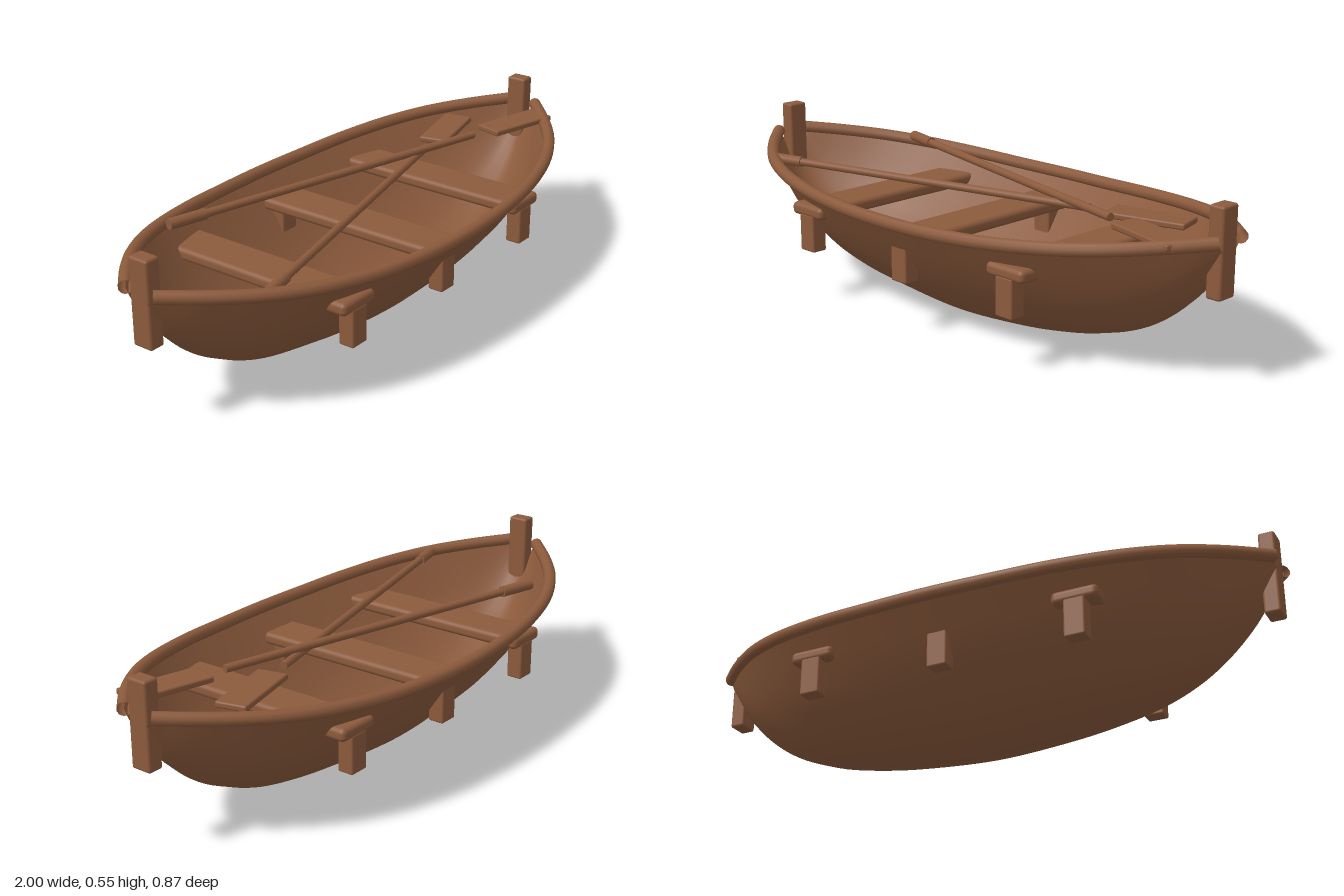
import * as THREE from 'three';
import { RoundedBoxGeometry } from 'three/addons/geometries/RoundedBoxGeometry.js';

// Half-length stations from midship to stem: x, rim height, rim half-width, keel height
const STATIONS = [
  [0, 0.385, 0.415, 0.002], [0.2, 0.387, 0.406, 0.012], [0.4, 0.396, 0.38, 0.034],
  [0.6, 0.41, 0.325, 0.077], [0.75, 0.424, 0.252, 0.147], [0.88, 0.438, 0.153, 0.255],
  [0.985, 0.45, 0.052, 0.4],
];
// Half cross-section from keel to rim: fraction of half-width, fraction of height
const SECTION = [[0, 0], [0.2, 0.045], [0.4, 0.18], [0.57, 0.35], [0.72, 0.54], [0.86, 0.77], [1, 1]];

// Smooth end-to-end curve through the mirrored stations
function lengthCurve(pick) {
  const pts = [];
  for (let i = -(STATIONS.length - 1); i < STATIONS.length; i++) {
    const s = STATIONS[Math.abs(i)];
    const [y, z] = pick(s);
    pts.push(new THREE.Vector3(Math.sign(i) * s[0], y, z));
  }
  return new THREE.CatmullRomCurve3(pts);
}

function hullGeometry() {
  const rim = lengthCurve((s) => [s[1], s[2]]);
  const keel = lengthCurve((s) => [s[3], 0]);
  const ring = [
    ...SECTION.slice(1).reverse().map(([g, f]) => [-g, f]),
    ...SECTION,
  ];
  const n = 64, m = ring.length, pos = [], index = [];
  for (let i = 0; i <= n; i++) {
    const a = keel.getPoint(i / n), b = rim.getPoint(i / n);
    for (const [g, f] of ring) {
      pos.push(a.x + (b.x - a.x) * f, a.y + (b.y - a.y) * f, b.z * g);
    }
  }
  for (let i = 0; i < n; i++) {
    for (let j = 0; j < m - 1; j++) {
      const p = i * m + j, q = p + m;
      index.push(p, q, p + 1, q, q + 1, p + 1);
    }
  }
  const geo = new THREE.BufferGeometry();
  geo.setAttribute('position', new THREE.Float32BufferAttribute(pos, 3));
  geo.setIndex(index);
  geo.computeVertexNormals();
  return geo;
}

export function createModel() {
  const boat = new THREE.Group();
  boat.name = 'rowingBoat';
  const wood = new THREE.MeshStandardMaterial({ color: 0x8b5a3c, side: THREE.DoubleSide });
  wood.name = 'brown wood';

  const add = (name, geo, x = 0, y = 0, z = 0, parent = boat) => {
    const mesh = new THREE.Mesh(geo, wood);
    mesh.name = name;
    mesh.position.set(x, y, z);
    parent.add(mesh);
    return mesh;
  };

  add('hull', hullGeometry());

  // Gunwale rails along both rims
  for (const side of [1, -1]) {
    const curve = lengthCurve((s) => [s[1], side * s[2]]);
    add(side > 0 ? 'frontRail' : 'backRail', new THREE.TubeGeometry(curve, 64, 0.021, 10));
  }

  // Stem and stern posts
  for (const side of [1, -1]) {
    add(side > 0 ? 'leftPost' : 'rightPost', new RoundedBoxGeometry(0.052, 0.274, 0.07, 2, 0.008), side * 0.96, 0.413, 0);
  }

  // Benches with a support under each end
  for (const x of [-0.455, 0, 0.455]) {
    add('bench', new RoundedBoxGeometry(0.15, 0.042, 0.7, 3, 0.016), x, 0.309, 0);
    for (const side of [1, -1]) {
      add('benchSupport', new RoundedBoxGeometry(0.068, 0.125, 0.054, 2, 0.006), x, 0.235, side * 0.322);
    }
  }

  // Oars: grip, shaft and a flat blade lying beyond the shaft end
  const oar = (name, x, y, z, angle) => {
    const group = new THREE.Group();
    group.name = name;
    group.position.set(x, y, z);
    group.rotation.y = angle;
    boat.add(group);
    const rod = (part, radius, from, to) => {
      const geo = new THREE.CylinderGeometry(radius, radius, to - from, 12).rotateZ(Math.PI / 2);
      add(part, geo, (from + to) / 2, 0, 0, group);
    };
    rod('grip', 0.018, 0, 0.13);
    rod('shaft', 0.013, 0.1, 1.23);
    add('blade', new RoundedBoxGeometry(0.265, 0.02, 0.1, 2, 0.006), 1.43, 0, 0, group);
  };
  oar('backOar', -0.6, 0.443, -0.262, -0.25);
  oar('frontOar', -0.76, 0.423, 0.252, 0.245);

  return boat;
}
